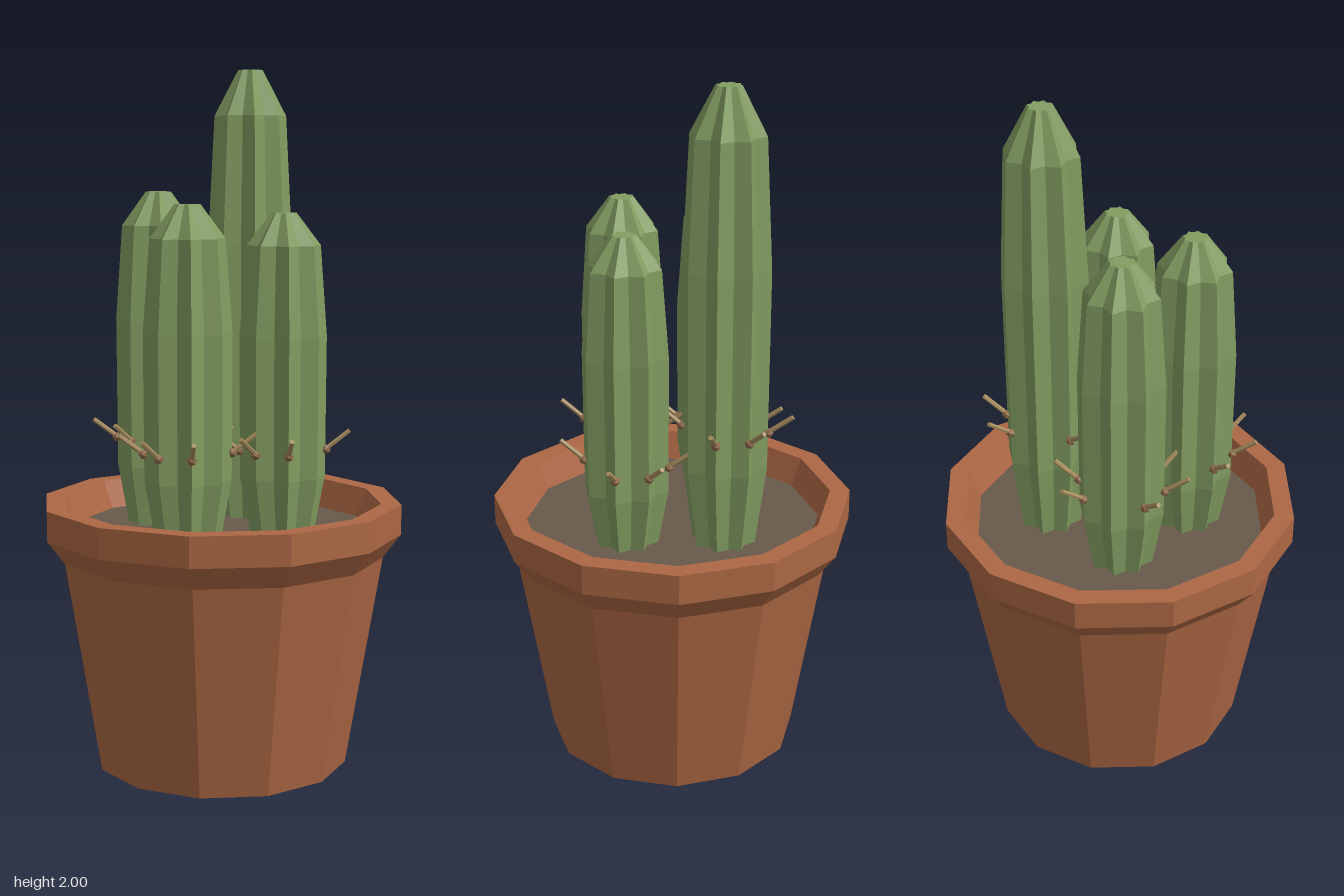
import * as THREE from 'three';

const material = (name, color) => {
  const m = new THREE.MeshStandardMaterial({ color, flatShading: true });
  m.name = name;
  return m;
};

const SOIL_Y = 0.69;
const points = (list) => list.map(([r, y]) => new THREE.Vector2(r, y));

export function createModel() {
  const terracotta = material('terracotta', 0xac6743);
  const earth = material('earth', 0x685a4c);
  const green = material('cactus green', 0x829d61);
  const straw = material('spine straw', 0xa98f60);
  const brown = material('areole brown', 0x8f6a4a);

  const model = new THREE.Group();
  model.name = 'pottedCactus';

  const add = (parent, name, geometry, mat) => {
    const mesh = new THREE.Mesh(geometry, mat);
    mesh.name = name;
    parent.add(mesh);
    return mesh;
  };

  // Twelve-sided pot: base, tapered wall, flared rim and inner lip
  add(model, 'pot', new THREE.LatheGeometry(points([
    [0, 0], [0.367, 0], [0.47, 0.615], [0.521, 0.683], [0.521, 0.77],
    [0.463, 0.77], [0.425, SOIL_Y - 0.01],
  ]), 12), terracotta);

  // Soil surface
  const soil = add(model, 'soil', new THREE.CircleGeometry(0.43, 12), earth);
  soil.rotation.x = -Math.PI / 2;
  soil.position.y = SOIL_Y;

  // Eight-ribbed column: every second lathe meridian is pulled inwards
  const columnGeometry = (height) => {
    const profile = points([
      [0.09, -0.01], [0.122, 0.18 * height], [0.124, 0.62 * height],
      [0.105, 0.9 * height], [0.036, height], [0, height],
    ]);
    const geometry = new THREE.LatheGeometry(profile, 16);
    const pos = geometry.attributes.position;
    for (let i = 0; i < pos.count; i++) {
      const meridian = Math.floor(i / profile.length);
      if (meridian % 2 === 1) pos.setXYZ(i, pos.getX(i) * 0.78, pos.getY(i), pos.getZ(i) * 0.78);
    }
    geometry.computeVertexNormals();
    return geometry;
  };

  const up = new THREE.Vector3(0, 1, 0);

  // A ring of slanted spines, each growing from a small knob on a rib
  const addSpines = (parent, y) => {
    for (const degrees of [0, 45, 135, 180, 225, 315]) {
      const a = THREE.MathUtils.degToRad(degrees);
      const at = (r, h) => new THREE.Vector3(Math.cos(a) * r, h, Math.sin(a) * r);
      const start = at(0.115, y - 0.005);
      const end = at(0.192, y + 0.053);
      const direction = end.clone().sub(start);
      const spine = add(parent, 'spine',
        new THREE.CylinderGeometry(0.007, 0.007, direction.length(), 6), straw);
      spine.position.copy(start).add(end).multiplyScalar(0.5);
      spine.quaternion.setFromUnitVectors(up, direction.normalize());
      add(parent, 'spineKnob', new THREE.IcosahedronGeometry(0.015, 0), brown)
        .position.copy(at(0.124, y));
    }
  };

  // Four columns: x, z, top height
  for (const [x, z, top] of [
    [0.196, -0.05, 2], [-0.052, -0.19, 1.653], [-0.2, 0.045, 1.623], [0.05, 0.185, 1.597],
  ]) {
    const height = top - SOIL_Y;
    const cactus = new THREE.Group();
    cactus.name = 'cactus';
    cactus.position.set(x, SOIL_Y, z);
    add(cactus, 'ribbedColumn', columnGeometry(height), green);
    addSpines(cactus, 0.262 * height);
    model.add(cactus);
  }

  return model;
}
